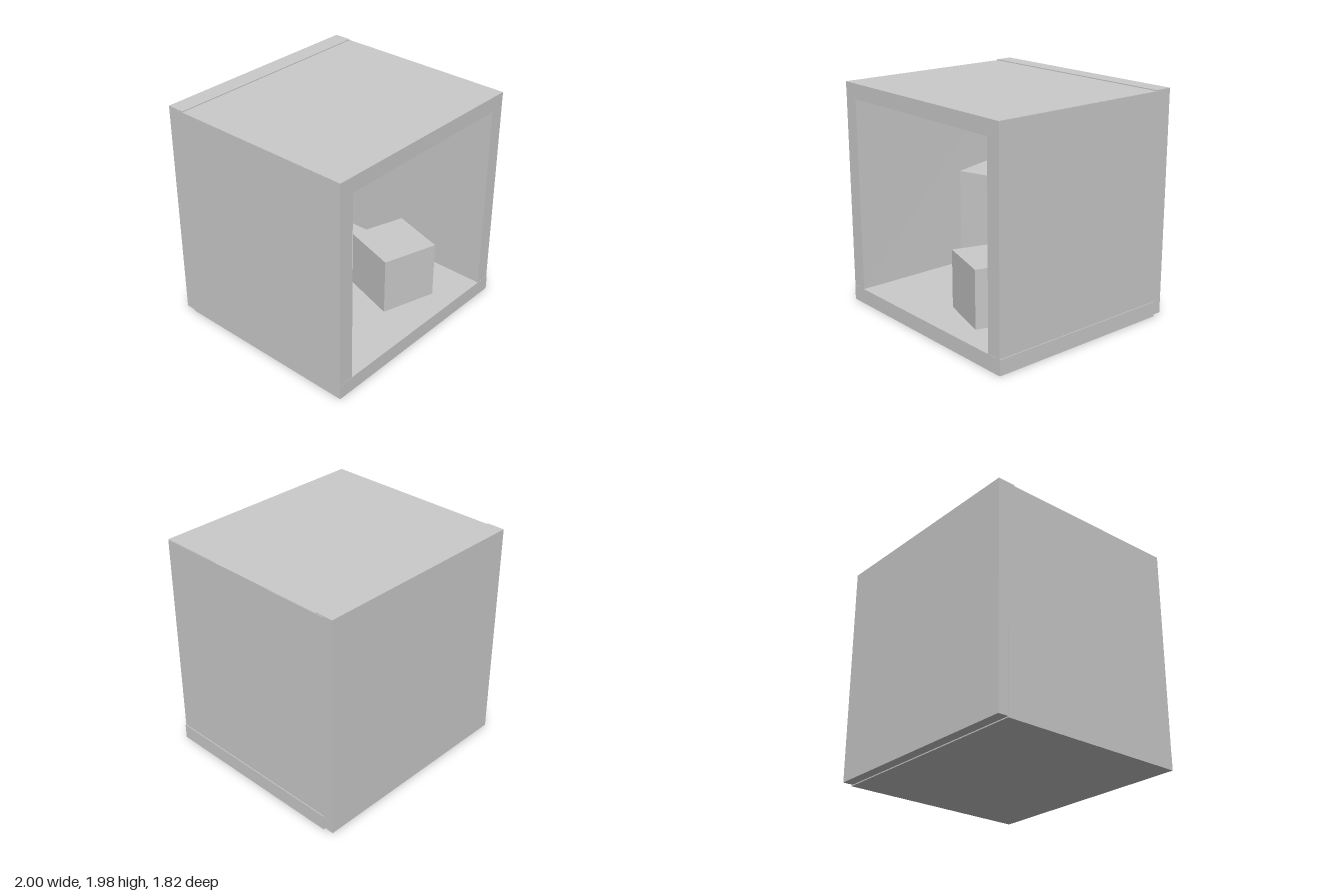
import * as THREE from 'three';

const material = new THREE.MeshStandardMaterial({ color: 0xcccccc, flatShading: true });

// Box given by its extents along each axis
function slab(name, [x0, x1], [y0, y1], [z0, z1]) {
  const geometry = new THREE.BoxGeometry(x1 - x0, y1 - y0, z1 - z0);
  geometry.translate((x0 + x1) / 2, (y0 + y1) / 2, (z0 + z1) / 2);
  const mesh = new THREE.Mesh(geometry, material);
  mesh.name = name;
  return mesh;
}

// Square block standing on the floor, turned about its own axis
function block(name, x, z, top, turn) {
  const width = 0.512, floorTop = 0.135;
  const mesh = new THREE.Mesh(new THREE.BoxGeometry(width, top - floorTop, width), material);
  mesh.name = name;
  mesh.position.set(x, (floorTop + top) / 2, z);
  mesh.rotation.y = turn;
  return mesh;
}

export function createModel() {
  const group = new THREE.Group();
  group.name = 'openRoom';

  // Room shell, open at the front
  const depth = [-0.82, 0.91];
  group.add(slab('floor', [-1, 1], [0, 0.135], depth));
  group.add(slab('ceiling', [-0.998, 0.99], [1.84, 1.972], depth));
  group.add(slab('backWall', [-0.998, 0.988], [0.01, 1.98], [-0.91, -0.75]));
  group.add(slab('leftWall', [0.86, 0.993], [0.13, 1.97], [-0.82, 0.908]));

  // The other side wall leans inward slightly towards the floor and the back
  const rightWall = slab('rightWall', [-1, -0.865], [0.13, 1.97], [-0.82, 0.908]);
  const p = rightWall.geometry.attributes.position;
  for (let i = 0; i < p.count; i++) {
    if (p.getX(i) > -0.9 && p.getY(i) < 1) p.setX(i, p.getZ(i) < 0 ? -0.847 : -0.857);
  }
  rightWall.geometry.computeVertexNormals();
  group.add(rightWall);

  // Two blocks turned in opposite directions
  const turn = 0.297;
  group.add(block('tallBlock', -0.28, -0.185, 1.165, turn));
  group.add(block('shortBlock', 0.285, 0.385, 0.65, -turn));

  return group;
}
